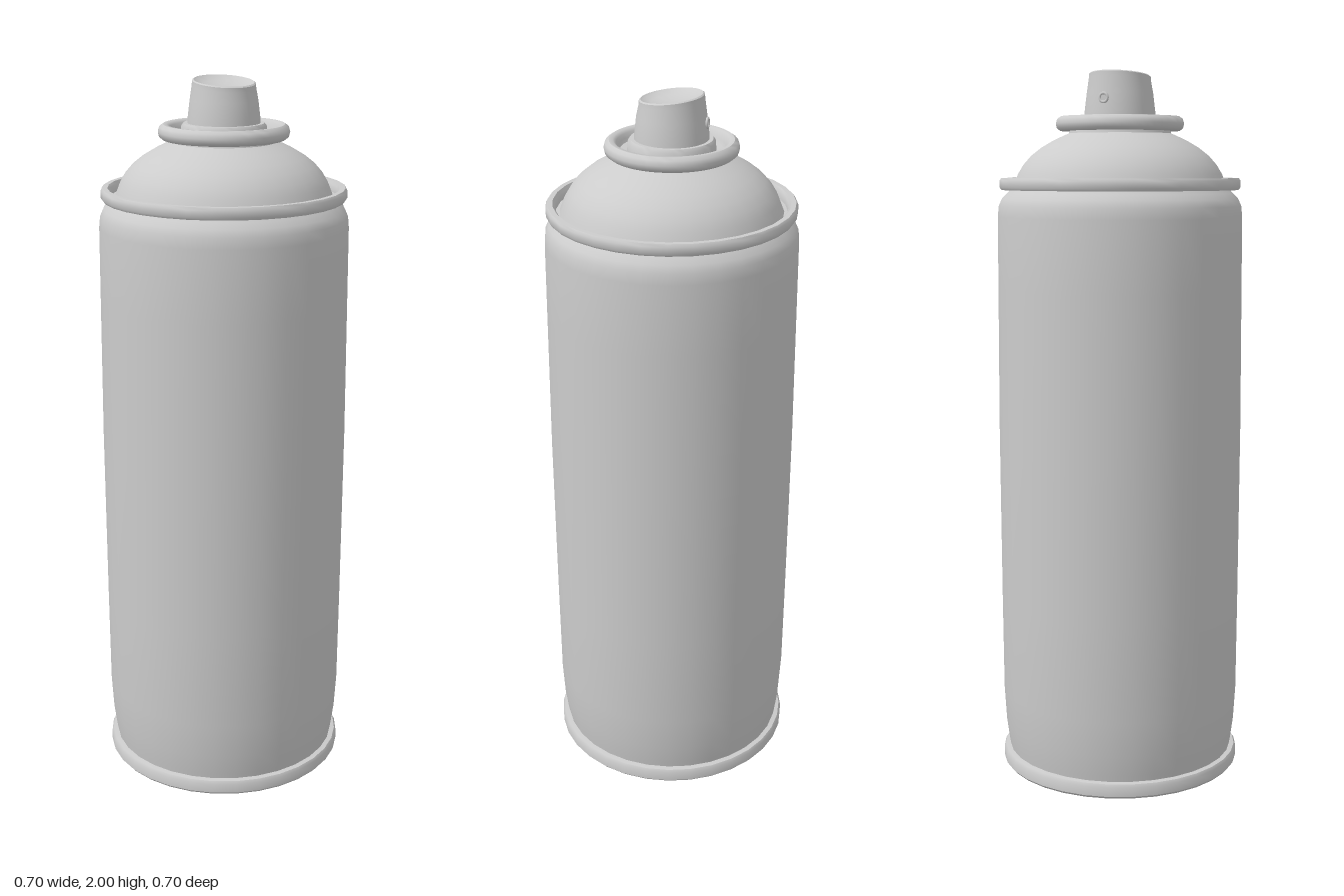
import * as THREE from 'three';
import { toCreasedNormals } from 'three/addons/utils/BufferGeometryUtils.js';

const material = new THREE.MeshStandardMaterial({ color: 0xcccccc, side: THREE.DoubleSide });

// Turned part from [radius, height] pairs, listed upward along the outside
function turned(name, profile, segments, reshape) {
  const points = profile.map(([r, y]) => new THREE.Vector2(r, y));
  const geometry = new THREE.LatheGeometry(points, segments);
  if (reshape) reshape(geometry.attributes.position);
  const mesh = new THREE.Mesh(toCreasedNormals(geometry, 0.7), material);
  mesh.name = name;
  return mesh;
}

// Slopes the upper end of the button down towards the front
function slopeTop(position) {
  for (let i = 0; i < position.count; i++) {
    const y = position.getY(i);
    if (y < 1.95) continue;
    const along = (position.getX(i) + position.getZ(i)) / Math.SQRT2;
    position.setY(i, y - 0.11 * (along + 0.08));
  }
}

export function createModel() {
  const group = new THREE.Group();

  // Can wall with a tapered foot and a rounded shoulder
  group.add(turned('body', [
    [0.325, 0.03], [0.33, 0.06], [0.338, 0.12], [0.344, 0.22], [0.346, 0.5], [0.348, 1.0],
    [0.346, 1.4], [0.345, 1.6], [0.342, 1.63], [0.333, 1.65], [0.318, 1.665], [0.305, 1.68],
  ], 32));

  // Rolled foot ring and the hollow underside
  group.add(turned('baseRing', [
    [0.322, 0.012], [0.328, 0], [0.34, 0], [0.346, 0.007], [0.346, 0.034],
    [0.341, 0.042], [0.326, 0.044],
  ], 32));
  group.add(turned('concaveBottom', [
    [0, 0.085], [0.1, 0.08], [0.2, 0.062], [0.28, 0.035], [0.322, 0.012],
  ], 32));

  // Rolled seam between wall and dome
  group.add(turned('topRim', [
    [0.305, 1.675], [0.334, 1.674], [0.339, 1.681], [0.339, 1.7], [0.334, 1.707],
    [0.32, 1.707], [0.314, 1.7], [0.312, 1.68],
  ], 32));

  // Domed shoulder
  group.add(turned('dome', [
    [0.314, 1.68], [0.302, 1.68], [0.296, 1.695], [0.287, 1.718], [0.272, 1.743],
    [0.25, 1.768], [0.222, 1.79], [0.19, 1.809], [0.16, 1.823], [0.144, 1.83], [0.14, 1.845],
  ], 32));

  // Valve cup: curled collar, sunken floor and raised seat
  group.add(turned('valveCollar', [
    [0.14, 1.837], [0.168, 1.837], [0.177, 1.844], [0.18, 1.857], [0.176, 1.87],
    [0.166, 1.877], [0.155, 1.876], [0.147, 1.869], [0.143, 1.857], [0.138, 1.848], [0.118, 1.846],
    [0.116, 1.872], [0.11, 1.88], [0, 1.88],
  ], 48));

  // Spray button with a dished, sloping top
  group.add(turned('nozzle', [
    [0.1, 1.875], [0.099, 1.89], [0.093, 1.94], [0.087, 1.985], [0.086, 1.997], [0.082, 2],
    [0.077, 1.996], [0.055, 1.989], [0.03, 1.985], [0, 1.984],
  ], 48, slopeTop));

  // Spray outlet on the back left corner of the button
  const outlet = new THREE.Group();
  outlet.name = 'sprayOutlet';
  const ring = new THREE.Mesh(new THREE.TorusGeometry(0.012, 0.004, 8, 20), material);
  ring.name = 'outletRing';
  const insert = new THREE.Mesh(new THREE.CylinderGeometry(0.011, 0.011, 0.01, 20), material);
  insert.name = 'outletInsert';
  insert.rotation.x = Math.PI / 2;
  insert.position.z = -0.004;
  outlet.add(ring, insert);
  outlet.rotation.y = -Math.PI * 0.75;
  outlet.position.set(-0.0675, 1.925, -0.0675);
  group.add(outlet);

  return group;
}
